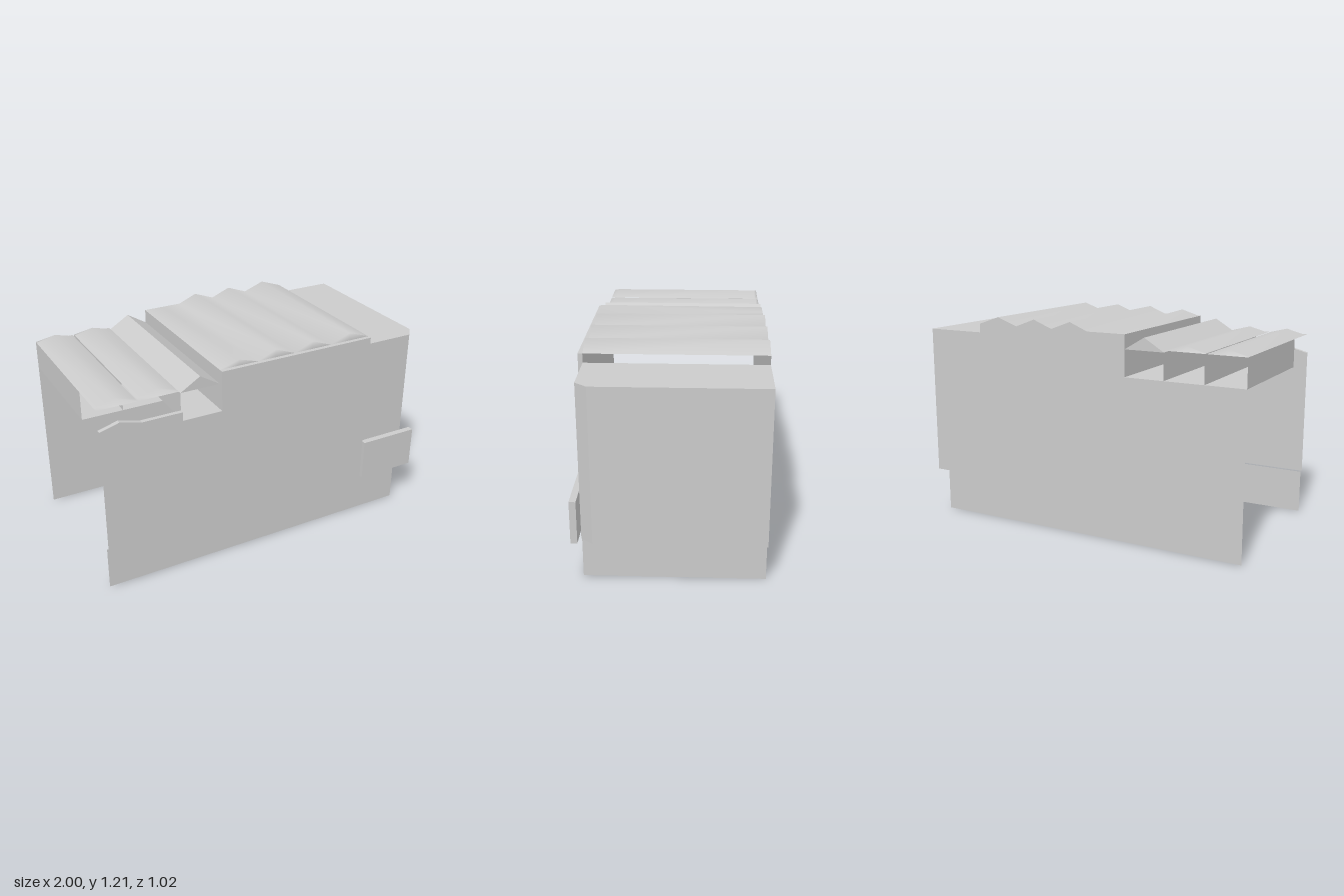
import * as THREE from 'three';

const mat = new THREE.MeshStandardMaterial({ color: 0xcccccc, side: THREE.DoubleSide });
const BACK = -0.51, INNER = 0.465, FRONT = 0.49;

export function createModel() {
  const model = new THREE.Group();

  const add = (name, geometry) => {
    const mesh = new THREE.Mesh(geometry, mat);
    mesh.name = name;
    model.add(mesh);
    return mesh;
  };

  // Upright sheet outlined in x, y at depth z
  const sheet = (name, pts, z) => {
    const shape = new THREE.Shape(pts.map(([x, y]) => new THREE.Vector2(x, y)));
    add(name, new THREE.ShapeGeometry(shape).translate(0, 0, z));
  };

  // Surface through rows of points, smooth or faceted
  const loft = (name, rows, smooth = false) => {
    const n = rows[0].length, index = [];
    for (let r = 0; r < rows.length - 1; r++) {
      for (let i = 0; i < n - 1; i++) {
        const a = r * n + i, b = a + n;
        index.push(a, a + 1, b, a + 1, b + 1, b);
      }
    }
    let geo = new THREE.BufferGeometry();
    geo.setAttribute('position', new THREE.Float32BufferAttribute(rows.flat(2), 3));
    geo.setIndex(index);
    if (!smooth) geo = geo.toNonIndexed();
    geo.computeVertexNormals();
    add(name, geo);
  };
  const row = (pts, z) => pts.map(([x, y]) => [x, y, z]);
  const sweep = (name, pts, z0, z1) => loft(name, [row(pts, z1), row(pts, z0)]);

  // Front wall with its stepped top, and the narrow lip behind its edge
  const frontTop = [[-1, 0.98], [-0.89, 1.01], [-0.77, 0.98], [-0.54, 0.98],
    [-0.54, 0.93], [-0.31, 0.93], [-0.31, 1.16], [0.64, 1.16], [0.64, 0.25]];
  sheet('frontWall', [[-1, 0.25], ...frontTop], FRONT);
  sweep('frontWallLip', frontTop, INNER, FRONT);

  // Plinth: front strip and right-hand end
  sheet('frontPlinth', [[-1, 0], [0.915, 0], [0.915, 0.25], [-1, 0.25]], INNER);
  sweep('endPlinth', [[0.915, 0], [0.915, 0.245]], BACK, INNER);

  // Back wall, its top following the main roof
  const peaks = [0.03, 0.265, 0.51], valleys = [-0.08, 0.15, 0.385, 0.64];
  const backTop = [[0.64, 1.16]];
  for (let i = 2; i >= 0; i--) backTop.push([peaks[i], 1.205], [valleys[i], 1.16]);
  sheet('backWall', [[-1, 0], [0.915, 0], [0.915, 0.245], [0.64, 0.245], ...backTop,
    [-0.31, 1.16], [-0.31, 0.93], [-1, 0.93]], BACK);

  // End tower with a chamfered front corner
  const plan = new THREE.Shape([[0.64, BACK], [1 - 0.005, BACK], [0.995, 0.4], [0.94, INNER], [0.64, INNER]]
    .map(([x, z]) => new THREE.Vector2(x, -z)));
  add('endTower', new THREE.ExtrudeGeometry(plan, { depth: 0.87, bevelEnabled: false })
    .rotateX(-Math.PI / 2).translate(0, 0.24, 0));

  // Raised panel at the foot of the tower
  add('towerPanel', new THREE.BoxGeometry(0.36, 0.24, 0.036)).position.set(0.82, 0.365, 0.495);

  // Main ridged roof: upright gables at the front, first ridge fading out to the back
  const ridges = [[-0.31, 1.16], [-0.195, 1.195]];
  valleys.forEach((v, i) => {
    ridges.push([v, 1.16]);
    if (i < 3) ridges.push([peaks[i], 1.205]);
  });
  loft('mainRoof', [
    row(ridges.map(([x]) => [x, 1.16]), INNER),
    row(ridges, INNER),
    row(ridges.map(([x, y], i) => [x, i === 1 ? 1.16 : y]), BACK),
  ], true);
  sweep('mainRoofSide', [[-0.31, 0.93], [-0.31, 1.16]], BACK, FRONT);

  // Roof tunnel with a pitched cover, open at both ends
  const gable = [[-0.54, 1.08], [-0.425, 1.15], [-0.31, 1.08]];
  sweep('tunnelRoof', gable, BACK, INNER);
  for (const z of [BACK, INNER]) sheet('tunnelGable', gable, z);
  sweep('tunnelCeiling', [[-0.54, 1.08], [-0.31, 1.08]], BACK, INNER);
  sweep('tunnelFloor', [[-0.54, 0.93], [-0.31, 0.93]], BACK, FRONT);
  sweep('tunnelWall', [[-0.54, 0.93], [-0.54, 1.08]], BACK, INNER);

  // Two low ducts beside it, each under a softly humped cover
  for (const x of [-1, -0.77]) {
    const end = x + 0.222;
    const flat = [[x, 1.09], [x + 0.111, 1.09], [end, 1.09]];
    const hump = [flat[0], [x + 0.111, 1.12], flat[2]];
    loft('ductRoof', [row(flat, INNER), row(hump, 0.43), row(hump, -0.49), row(flat, BACK)], true);
    sweep('ductFloor', [[x, 0.93], [x + 0.23, 0.93]], BACK, 0.23);
    sweep('ductWall', [[x, 0.93], [x, 1.09]], BACK, 0.23);
  }

  return model;
}
